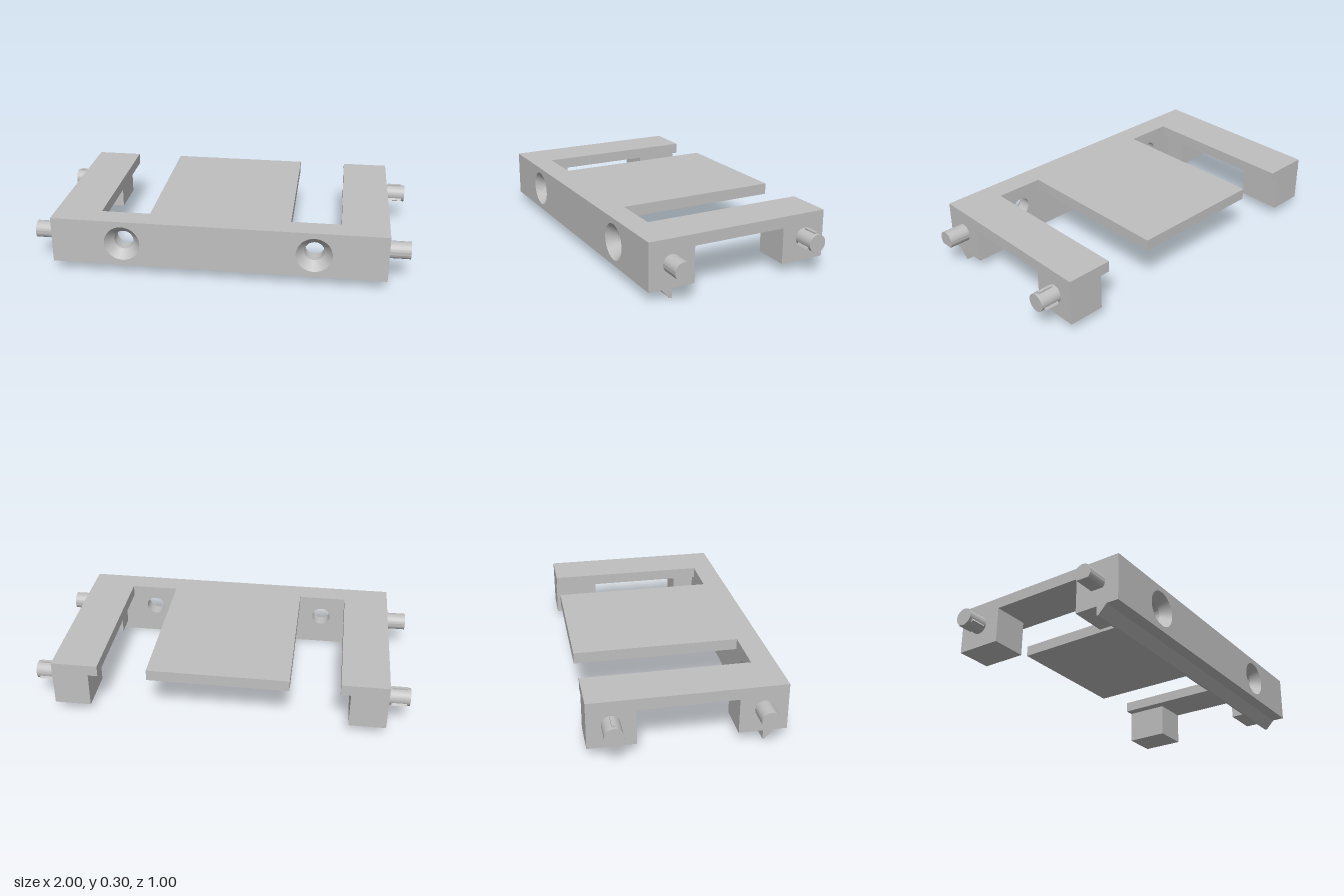
import * as THREE from 'three';
import { toCreasedNormals } from 'three/addons/utils/BufferGeometryUtils.js';

export function createModel() {
  const model = new THREE.Group();
  const grey = new THREE.MeshStandardMaterial({ color: 0xbfbfbf, side: THREE.DoubleSide });
  grey.name = 'light grey';

  const add = (name, geometry) => {
    const mesh = new THREE.Mesh(geometry, grey);
    mesh.name = name;
    model.add(mesh);
    return mesh;
  };
  // Box given by its lower and upper limits on each axis
  const box = (name, x0, x1, y0, y1, z0, z1) =>
    add(name, new THREE.BoxGeometry(x1 - x0, y1 - y0, z1 - z0))
      .position.set((x0 + x1) / 2, (y0 + y1) / 2, (z0 + z1) / 2);
  const extrude = (shape, depth) => toCreasedNormals(
    new THREE.ExtrudeGeometry(shape, { depth, bevelEnabled: false, curveSegments: 40 }), 0.5);

  const W = 0.885, BASE = 0.05, TOP = 0.3, UNDER = 0.24;
  const WALL = 0.375, SINK = 0.45, AXIS = 0.175;
  const HOLE_X = 0.505, HOLE_R = 0.052, SINK_R = 0.095;

  // Front wall in two layers, with wide holes in front and narrow holes behind
  const wallShape = (r) => {
    const s = new THREE.Shape([
      new THREE.Vector2(-W, BASE), new THREE.Vector2(W, BASE),
      new THREE.Vector2(W, TOP), new THREE.Vector2(-W, TOP)]);
    for (const x of [-HOLE_X, HOLE_X]) {
      s.holes.push(new THREE.Path().absarc(x, AXIS, r, 0, Math.PI * 2, true));
    }
    return s;
  };
  add('frontWallInner', extrude(wallShape(HOLE_R), SINK - WALL)).position.z = WALL;
  add('frontWallOuter', extrude(wallShape(SINK_R), 0.5 - SINK)).position.z = SINK;

  // Centre plate
  box('centrePlate', -0.375, 0.375, UNDER, TOP, -0.5, WALL);

  // Wedge-shaped catch under the front wall
  const wedge = new THREE.Shape([
    new THREE.Vector2(-0.435, BASE), new THREE.Vector2(-0.387, 0),
    new THREE.Vector2(-0.377, 0), new THREE.Vector2(-0.377, BASE)]);
  const ridge = add('bottomCatch', extrude(wedge, 2 * W));
  ridge.rotation.y = Math.PI / 2;
  ridge.position.x = -W;

  // Peg outline with a flat underside
  const flat = Math.asin(0.033 / 0.047);
  const dShape = new THREE.Shape();
  dShape.absarc(0, 0, 0.047, -flat, Math.PI + flat, false);
  dShape.closePath();

  for (const side of [1, -1]) {
    const label = side > 0 ? 'left' : 'right';
    const sideBox = (name, x0, x1, ...rest) =>
      box(label + name, Math.min(side * x0, side * x1), Math.max(side * x0, side * x1), ...rest);

    // Arm and its two posts
    sideBox('Arm', 0.637, W, UNDER, TOP, -0.5, WALL);
    sideBox('RearPost', 0.69, W, BASE, UNDER, -0.5, -0.255);
    sideBox('FrontPost', 0.69, W, BASE, UNDER, 0.253, WALL);

    // Countersink cone
    const cone = add(label + 'Countersink',
      new THREE.CylinderGeometry(SINK_R, HOLE_R, 0.5 - SINK, 48, 1, true));
    cone.rotation.x = Math.PI / 2;
    cone.position.set(side * HOLE_X, AXIS, (0.5 + SINK) / 2);

    // Front peg
    const peg = add(label + 'FrontPeg', extrude(dShape, 1 - W));
    peg.rotation.y = side * Math.PI / 2;
    peg.position.set(side * W, AXIS, 0.377);

    // Rear round peg with three small ribs
    const round = add(label + 'RearPeg', new THREE.CylinderGeometry(0.047, 0.047, 1 - W, 48));
    round.rotation.z = Math.PI / 2;
    round.position.set(side * (1 + W) / 2, AXIS, -0.38);
    for (let i = 0; i < 3; i++) {
      const a = Math.PI / 2 + i * Math.PI * 2 / 3;
      const rib = add(label + 'PegRib', new THREE.BoxGeometry(0.08, 0.014, 0.016));
      rib.rotation.x = -a + Math.PI / 2;
      rib.position.set(side * 0.943, AXIS + Math.sin(a) * 0.048, -0.38 - Math.cos(a) * 0.048);
    }
  }
  return model;
}
